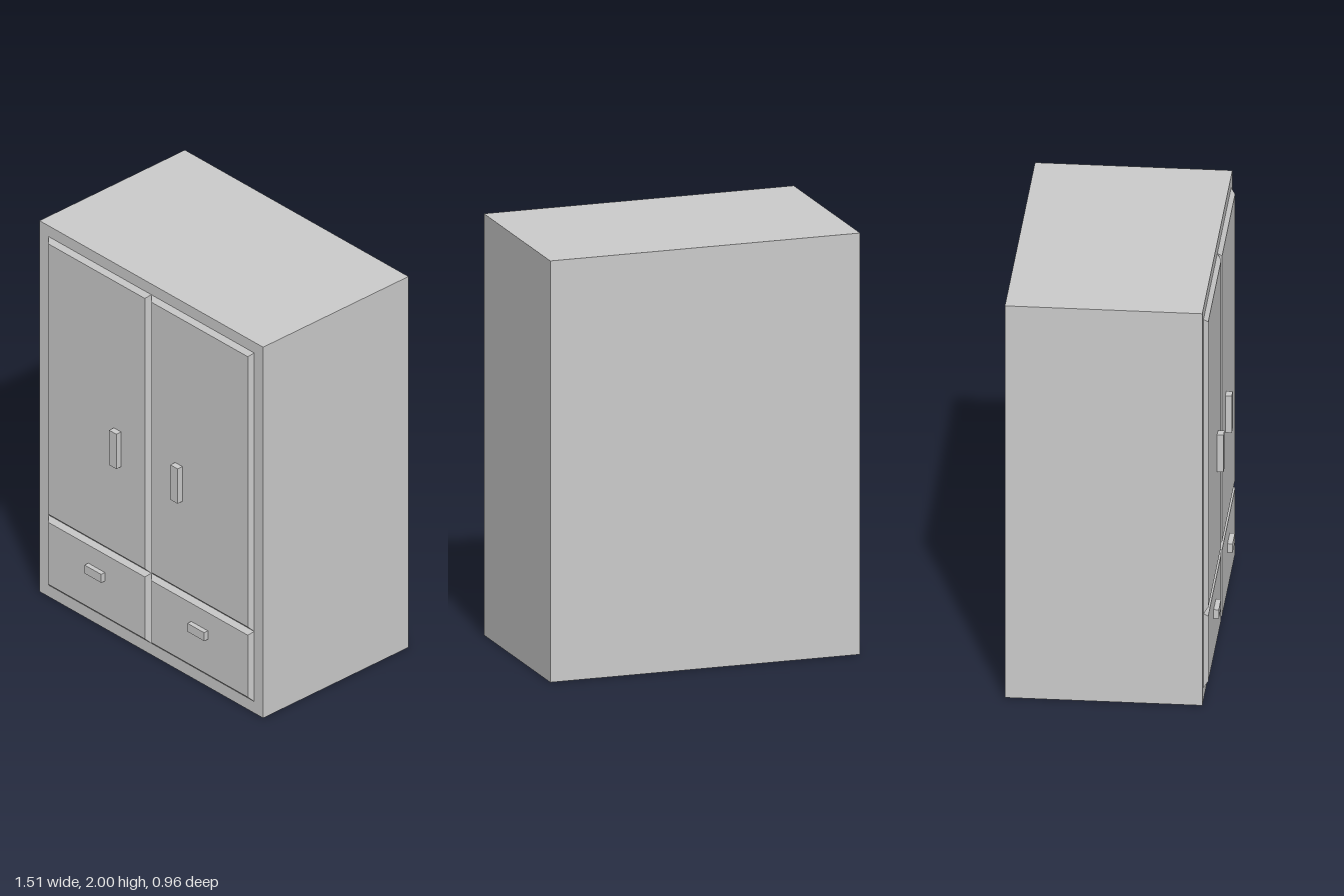
import * as THREE from 'three';

const material = new THREE.MeshStandardMaterial({ color: 0xcccccc, flatShading: true });
const FRONT = 0.43; // front plane of the carcass
const FACE = 0.45;  // front plane of the doors and drawers
const BEVEL = 0.022;

// Box given by its limits on each axis
function block(name, x0, x1, y0, y1, z0, z1) {
  const geometry = new THREE.BoxGeometry(x1 - x0, y1 - y0, z1 - z0);
  const mesh = new THREE.Mesh(geometry, material);
  mesh.position.set((x0 + x1) / 2, (y0 + y1) / 2, (z0 + z1) / 2);
  mesh.name = name;
  return mesh;
}

// Panel whose front face is inset, giving four sloping edges
function bevelledPanel(name, x0, x1, y0, y1) {
  const mesh = block(name, x0, x1, y0, y1, FRONT, FACE);
  const p = mesh.geometry.attributes.position;
  for (let i = 0; i < p.count; i++) {
    if (p.getZ(i) < 0) continue;
    p.setX(i, p.getX(i) - Math.sign(p.getX(i)) * BEVEL);
    p.setY(i, p.getY(i) - Math.sign(p.getY(i)) * BEVEL);
  }
  mesh.geometry.computeVertexNormals();
  return mesh;
}

export function createModel() {
  const wardrobe = new THREE.Group();
  wardrobe.name = 'wardrobe';
  wardrobe.add(block('carcass', -0.755, 0.755, 0, 2, -0.48, FRONT));

  // Door above drawer on each side, each with its own handle
  for (const [side, s] of [['left', 1], ['right', -1]]) {
    const span = (a, b) => (s > 0 ? [a, b] : [-b, -a]);
    wardrobe.add(
      bevelledPanel(side + 'Door', ...span(0, 0.695), 0.44, 1.942),
      bevelledPanel(side + 'Drawer', ...span(0, 0.695), 0.062, 0.44),
      block(side + 'DoorHandle', ...span(0.182, 0.231), 0.94, 1.128, FACE, 0.48),
      block(side + 'DrawerHandle', ...span(0.291, 0.404), 0.275, 0.32, FACE, 0.474),
    );
  }
  return wardrobe;
}
